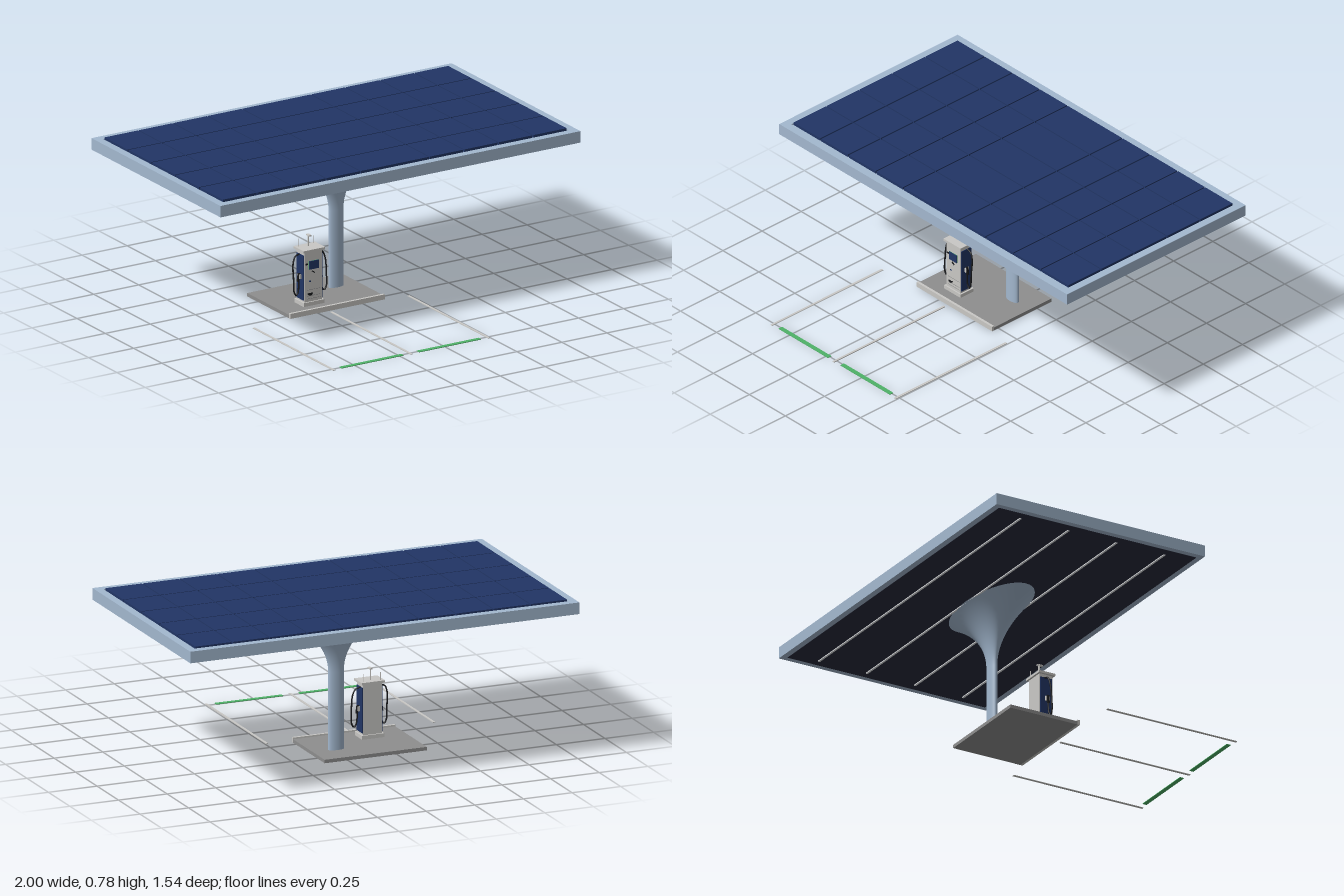
import * as THREE from 'three';

const mat = (name, color, extra = {}) => {
  const m = new THREE.MeshStandardMaterial({ color, ...extra });
  m.name = name;
  return m;
};

export function createModel() {
  const steel = mat('blue grey steel', 0xa3b8cf, { side: THREE.DoubleSide });
  const navy = mat('solar navy', 0x213565);
  const soffit = mat('dark soffit', 0x292b3c);
  const lamp = mat('lamp white', 0xe6e8ea);
  const concrete = mat('concrete grey', 0x8e8e8e);
  const pale = mat('pale grey', 0xc9c8c5);
  const green = mat('bay green', 0x4fb268);
  const black = mat('rubber black', 0x18191c);

  const model = new THREE.Group();

  // Box given by its extents on each axis
  const box = (parent, name, material, [x0, x1], [y0, y1], [z0, z1]) => {
    const m = new THREE.Mesh(new THREE.BoxGeometry(x1 - x0, y1 - y0, z1 - z0), material);
    m.position.set((x0 + x1) / 2, (y0 + y1) / 2, (z0 + z1) / 2);
    m.name = name;
    parent.add(m);
    return m;
  };
  const group = (name) => {
    const g = new THREE.Group();
    g.name = name;
    model.add(g);
    return g;
  };

  // Canopy: rim beams around a slab, with a dark soffit below
  const canopy = group('canopy');
  const rimY = [0.715, 0.772];
  box(canopy, 'frontRim', steel, [-1, 1], rimY, [0.33, 0.37]);
  box(canopy, 'backRim', steel, [-1, 1], rimY, [-0.77, -0.73]);
  for (const s of [-1, 1]) {
    box(canopy, 'sideRim', steel, s < 0 ? [-1, -0.96] : [0.96, 1], rimY, [-0.73, 0.33]);
  }
  box(canopy, 'deck', steel, [-0.96, 0.96], [0.72, 0.766], [-0.73, 0.33]);
  box(canopy, 'soffit', soffit, [-0.97, 0.97], [0.7135, 0.72], [-0.74, 0.34]);

  // Solar panels: five rows, with a double-width panel in the middle
  const solar = group('solarPanels');
  const colW = 0.1915, rowD = 0.2105, gap = 0.003;
  const columns = [[-5, -4], [-4, -3], [-3, -2], [-2, -1], [-1, 1], [1, 2], [2, 3], [3, 4], [4, 5]];
  for (let r = 0; r < 5; r++) {
    for (const [a, b] of columns) {
      const z = -0.73 + r * rowD;
      box(solar, 'solarPanel', navy, [a * colW + gap, b * colW - gap], [0.764, 0.78],
        [z + gap, z + rowD - gap]);
    }
  }

  // Lamp strips under the canopy
  for (const z of [-0.595, -0.333, -0.07, 0.193]) {
    box(canopy, 'lampStrip', lamp, [-0.925, 0.925], [0.709, 0.715], [z - 0.005, z + 0.005]);
  }

  // Oval column flaring out to meet the canopy
  const profile = [new THREE.Vector2(0.04, 0.015)];
  for (let i = 0; i <= 20; i++) {
    const t = i / 20;
    profile.push(new THREE.Vector2(0.04 + 0.28 * t ** 2.15, 0.4 + 0.316 * t));
  }
  const column = new THREE.Mesh(new THREE.LatheGeometry(profile, 48), steel);
  column.name = 'flaredColumn';
  column.scale.z = 0.45;
  column.position.z = -0.2;
  model.add(column);

  // Island with a pale kerb along the front
  const island = group('island');
  box(island, 'islandSlab', concrete, [-0.405, 0.12], [0, 0.017], [-0.34, 0.027]);
  box(island, 'kerb', pale, [-0.405, 0.12], [0, 0.025], [0.027, 0.04]);

  // Bay markings
  const bays = group('bayMarkings');
  for (const x of [-0.62, -0.19, 0.24]) {
    box(bays, 'bayLine', pale, [x - 0.006, x + 0.006], [0, 0.003], [0.06, 0.77]);
  }
  for (const x of [-0.575, -0.145]) {
    box(bays, 'bayEnd', green, [x, x + 0.343], [0, 0.003], [0.743, 0.765]);
  }

  // Charger, built about its own centre line
  const charger = group('charger');
  charger.position.set(-0.23, 0, -0.07);
  box(charger, 'plinth', pale, [-0.057, 0.057], [0.017, 0.036], [-0.042, 0.042]);
  box(charger, 'cabinet', pale, [-0.049, 0.049], [0.036, 0.285], [-0.035, 0.035]);
  box(charger, 'cap', pale, [-0.06, 0.06], [0.285, 0.296], [-0.045, 0.045]);

  // Front details
  box(charger, 'screenSurround', green, [-0.026, 0.028], [0.197, 0.238], [0.035, 0.037]);
  box(charger, 'screen', navy, [-0.026, 0.028], [0.197, 0.238], [0.037, 0.041]);
  box(charger, 'button', black, [-0.043, -0.032], [0.221, 0.228], [0.035, 0.039]);
  const reader = box(charger, 'cardReader', black, [-0.009, 0.009], [0.179, 0.184], [0.035, 0.039]);
  reader.rotation.z = -0.6;
  box(charger, 'statusPlate', navy, [-0.023, -0.013], [0.134, 0.14], [0.035, 0.037]);
  const tray = new THREE.Mesh(
    new THREE.CylinderGeometry(0.014, 0.014, 0.006, 20, 1, false, Math.PI / 2, Math.PI), black);
  tray.rotation.x = -Math.PI / 2;
  tray.position.set(-0.018, 0.08, 0.036);
  tray.name = 'trayOpening';
  charger.add(tray);
  for (const y of [0.05, 0.064, 0.094]) {
    box(charger, 'vent', concrete, [-0.036, 0.042], [y, y + 0.002], [0.034, 0.036]);
  }

  // Mast and its small top plate
  const rod = (name, x, z, y0, y1, r) => {
    const m = new THREE.Mesh(new THREE.CylinderGeometry(r, r, y1 - y0, 12), pale);
    m.position.set(x, (y0 + y1) / 2, z);
    m.name = name;
    charger.add(m);
  };
  rod('mast', 0, -0.01, 0.296, 0.35, 0.003);
  box(charger, 'mastHead', pale, [-0.007, 0.007], [0.349, 0.355], [-0.018, 0.01]);

  // Both sides: panel, post, hose and nozzle
  for (const s of [-1, 1]) {
    const span = (a, b) => (s > 0 ? [a, b] : [-b, -a]);
    box(charger, 'sidePanel', navy, span(0.049, 0.052), [0.045, 0.268], [-0.032, 0.032]);
    rod('post', s * 0.043, -0.03, 0.296, 0.335, 0.0015);
    const path = [[0.049, 0.267, -0.008], [0.075, 0.258, -0.006], [0.089, 0.225, -0.002],
      [0.091, 0.145, 0.006], [0.09, 0.09, 0.008], [0.077, 0.068, 0.008],
      [0.066, 0.085, 0.006], [0.061, 0.145, 0.004]];
    const curve = new THREE.CatmullRomCurve3(
      path.map(([x, y, z]) => new THREE.Vector3(s * x, y, z)));
    const hose = new THREE.Mesh(new THREE.TubeGeometry(curve, 48, 0.0038, 8), black);
    hose.name = 'hose';
    charger.add(hose);
    box(charger, 'nozzleHolder', pale, span(0.05, 0.062), [0.148, 0.17], [-0.008, 0.013]);
    const nozzle = box(charger, 'nozzle', black, span(0.057, 0.067), [0.135, 0.175], [-0.002, 0.009]);
    nozzle.rotation.z = s * 0.15;
  }
  return model;
}
